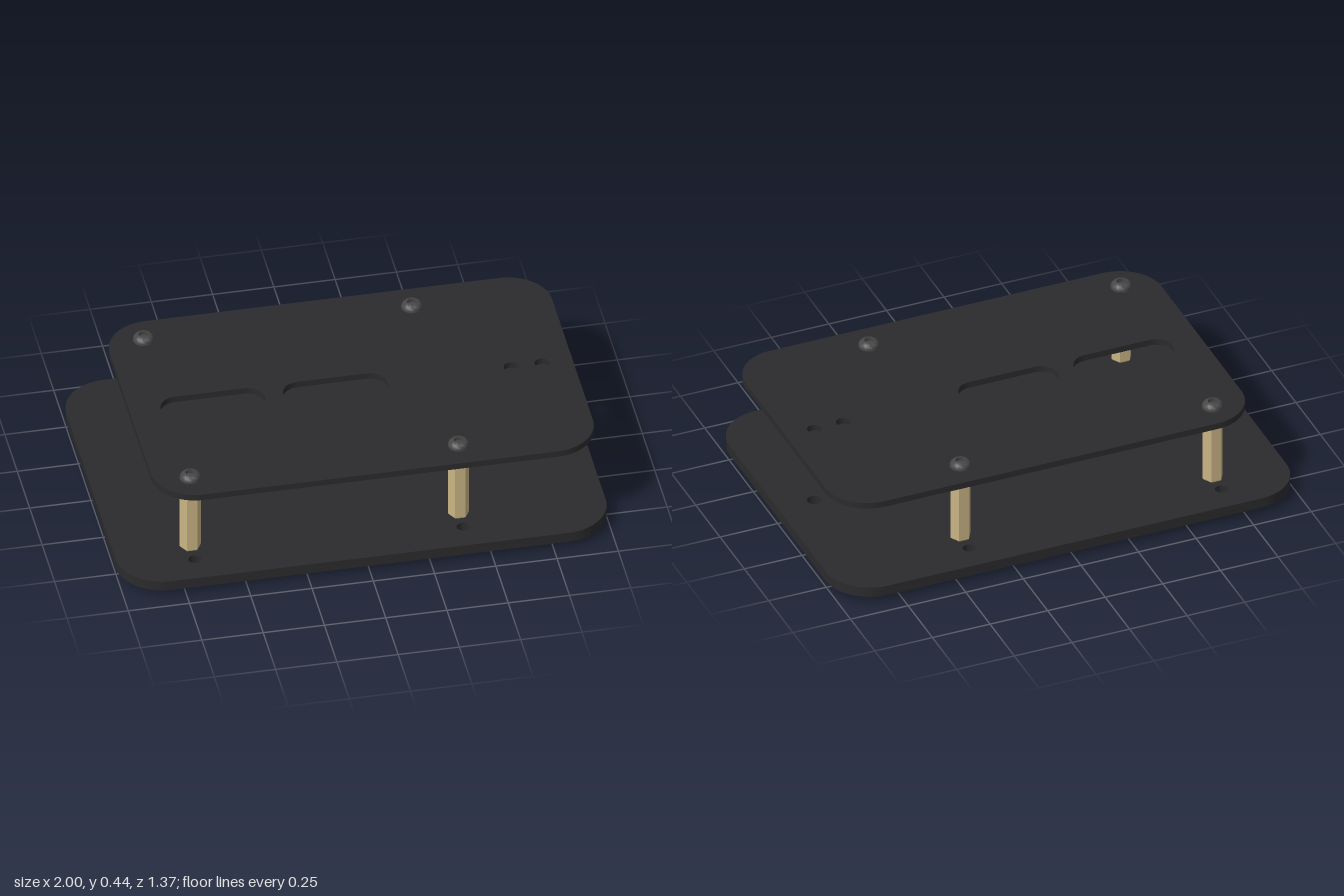
import * as THREE from 'three';
import { toCreasedNormals } from 'three/addons/utils/BufferGeometryUtils.js';

const black = new THREE.MeshStandardMaterial({ color: 0x2b2b2d });
const steel = new THREE.MeshStandardMaterial({ color: 0x464646 });
const brass = new THREE.MeshStandardMaterial({ color: 0xc9b584 });

const POST_X = [-0.69, 0.405];
const POST_Z = [-0.47, 0.47];

function roundedRect(x0, x1, halfZ, r) {
  const s = new THREE.Shape();
  s.absarc(x1 - r, halfZ - r, r, 0, Math.PI / 2);
  s.absarc(x0 + r, halfZ - r, r, Math.PI / 2, Math.PI);
  s.absarc(x0 + r, -halfZ + r, r, Math.PI, Math.PI * 1.5);
  s.absarc(x1 - r, -halfZ + r, r, Math.PI * 1.5, Math.PI * 2);
  s.closePath();
  return s;
}

function roundHole(x, z, r) {
  return new THREE.Path().absarc(x, z, r, 0, Math.PI * 2, true);
}

function slotHole(x0, x1, r) {
  const p = new THREE.Path();
  p.absarc(x1 - r, 0, r, Math.PI / 2, -Math.PI / 2, true);
  p.absarc(x0 + r, 0, r, -Math.PI / 2, -Math.PI * 1.5, true);
  p.closePath();
  return p;
}

// Flat plate lying in xz, with the slots and cable holes shared by both plates
function plate(name, shape, y0, y1, extraHoles = []) {
  shape.holes.push(
    slotHole(-0.715, -0.29, 0.072),
    slotHole(-0.215, 0.21, 0.072),
    roundHole(0.715, 0, 0.03),
    roundHole(0.84, 0, 0.03),
    ...extraHoles
  );
  const geo = new THREE.ExtrudeGeometry(shape, { depth: y1 - y0, bevelEnabled: false, curveSegments: 16 });
  geo.rotateX(-Math.PI / 2);
  const mesh = new THREE.Mesh(toCreasedNormals(geo, 0.6), black);
  mesh.name = name;
  mesh.position.y = y0;
  return mesh;
}

function lathe(points, segments) {
  return new THREE.LatheGeometry(points.map(([r, y]) => new THREE.Vector2(r, y)), segments);
}

export function createModel() {
  const model = new THREE.Group();
  model.name = 'twoDeckPlate';

  // Lower plate has a spare hole outboard of each post
  const spare = [];
  for (const x of POST_X) for (const z of POST_Z) spare.push(roundHole(x, z + Math.sign(z) * 0.09, 0.026));
  model.add(plate('lowerPlate', roundedRect(-1, 1, 0.685, 0.19), 0.028, 0.072, spare));
  model.add(plate('upperPlate', roundedRect(-0.84, 0.965, 0.59, 0.18), 0.386, 0.413));

  // Hexagonal post with slightly chamfered ends
  const postGeo = toCreasedNormals(
    lathe([[0, 0.072], [0.038, 0.072], [0.043, 0.078], [0.043, 0.38], [0.038, 0.386], [0, 0.386]], 6), 0.2);
  postGeo.rotateY(Math.PI / 6);

  // Domed screw head with a drive recess
  const headGeo = toCreasedNormals(
    lathe([[0.043, 0], [0.043, 0.008], [0.04, 0.016], [0.034, 0.023], [0.026, 0.027], [0.019, 0.028],
      [0.019, 0.012], [0, 0.012]], 24), 0.7);

  for (const x of POST_X) {
    for (const z of POST_Z) {
      const post = new THREE.Group();
      post.name = 'post';
      post.position.set(x, 0, z);

      const standoff = new THREE.Mesh(postGeo, brass);
      standoff.name = 'standoff';

      const upperScrew = new THREE.Mesh(headGeo, steel);
      upperScrew.name = 'upperScrew';
      upperScrew.position.y = 0.412;

      const lowerScrew = new THREE.Mesh(headGeo, steel);
      lowerScrew.name = 'lowerScrew';
      lowerScrew.position.y = 0.028;
      lowerScrew.rotation.x = Math.PI;

      post.add(standoff, upperScrew, lowerScrew);
      model.add(post);
    }
  }
  return model;
}
